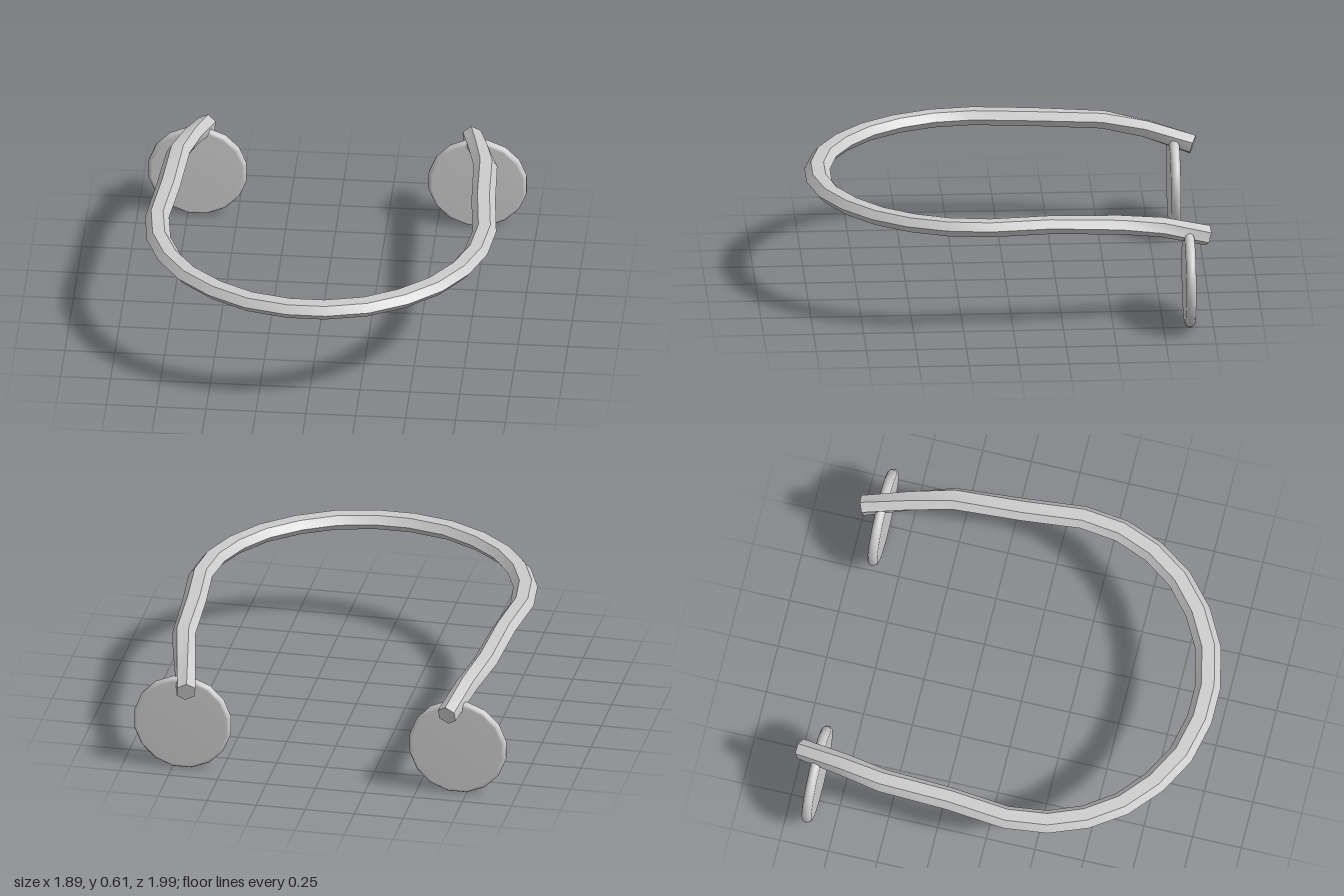
import * as THREE from 'three';

const material = new THREE.MeshStandardMaterial({ color: 0xcccccc, side: THREE.DoubleSide });

// Centre line of half the band, tip to front: x, y, z, roll (radians), half width, half height
const HALF = [
  [0.665, 0.457, -0.975, 0.48, 0.052, 0.045],
  [0.72, 0.525, -0.745, 0.28, 0.056, 0.041],
  [0.77, 0.56, -0.53, 0.1, 0.06, 0.039],
  [0.79, 0.574, -0.18, 0, 0.06, 0.038],
  [0.82, 0.574, 0.12, 0, 0.06, 0.038],
  [0.795, 0.574, 0.325, 0, 0.061, 0.038],
  [0.725, 0.574, 0.505, 0, 0.062, 0.038],
  [0.615, 0.574, 0.665, 0, 0.063, 0.038],
  [0.465, 0.574, 0.795, 0, 0.064, 0.038],
  [0.29, 0.574, 0.89, 0, 0.064, 0.038],
  [0.09, 0.574, 0.936, 0, 0.064, 0.038],
];

// Hexagonal ring at each station, square to the path
function bandRings() {
  const path = [...HALF, ...HALF.map(([x, ...rest]) => [-x, ...rest]).reverse()];
  const centres = path.map(([x, y, z]) => new THREE.Vector3(x, y, z));
  const up = new THREE.Vector3(0, 1, 0);
  return path.map(([, , , roll, w, h], i) => {
    const c = centres[i];
    const t = new THREE.Vector3();
    if (i > 0) t.add(c.clone().sub(centres[i - 1]).normalize());
    if (i < path.length - 1) t.add(centres[i + 1].clone().sub(c).normalize());
    t.normalize();
    const inward = t.clone().cross(up).normalize();
    const above = inward.clone().cross(t);
    return Array.from({ length: 6 }, (_, k) => {
      const a = (k * Math.PI) / 3;
      const u = w * Math.cos(a);
      const v = (h * Math.sin(a)) / Math.sin(Math.PI / 3);
      return c.clone()
        .addScaledVector(inward, u * Math.cos(roll) - v * Math.sin(roll))
        .addScaledVector(above, u * Math.sin(roll) + v * Math.cos(roll));
    });
  });
}

// Six strips, smooth along the band and sharp across it, plus flat end caps
function bandGeometry() {
  const rings = bandRings();
  const pos = [];
  const index = [];
  for (let k = 0; k < 6; k++) {
    const base = pos.length / 3;
    rings.forEach((ring, i) => {
      pos.push(...ring[k].toArray(), ...ring[(k + 1) % 6].toArray());
      if (i === rings.length - 1) return;
      const a = base + i * 2;
      index.push(a, a + 2, a + 1, a + 1, a + 2, a + 3);
    });
  }
  [rings[0], rings[rings.length - 1]].forEach((ring, end) => {
    const base = pos.length / 3;
    ring.forEach((p) => pos.push(...p.toArray()));
    for (let k = 1; k < 5; k++) {
      if (end === 0) index.push(base, base + k, base + k + 1);
      else index.push(base, base + k + 1, base + k);
    }
  });
  const g = new THREE.BufferGeometry();
  g.setAttribute('position', new THREE.Float32BufferAttribute(pos, 3));
  g.setIndex(index);
  g.computeVertexNormals();
  return g;
}

// Sixteen-sided disc with a rounded rim
function padGeometry() {
  const profile = [
    [0, -0.025], [0.23, -0.025], [0.243, -0.019], [0.25, -0.008],
    [0.25, 0.008], [0.243, 0.019], [0.23, 0.025], [0, 0.025],
  ].map(([r, y]) => new THREE.Vector2(r, y));
  const g = new THREE.LatheGeometry(profile, 16);
  g.rotateY(Math.PI / 16);
  g.rotateX(Math.PI / 2);
  return g;
}

export function createModel() {
  const group = new THREE.Group();
  group.name = 'headband';

  const band = new THREE.Mesh(bandGeometry(), material);
  band.name = 'band';
  group.add(band);

  // Round pads hanging from the band's tips
  const pad = padGeometry();
  for (const side of [1, -1]) {
    const mesh = new THREE.Mesh(pad, material);
    mesh.name = side > 0 ? 'leftPad' : 'rightPad';
    mesh.position.set(side * 0.702, 0.246, -0.88);
    group.add(mesh);
  }
  return group;
}
